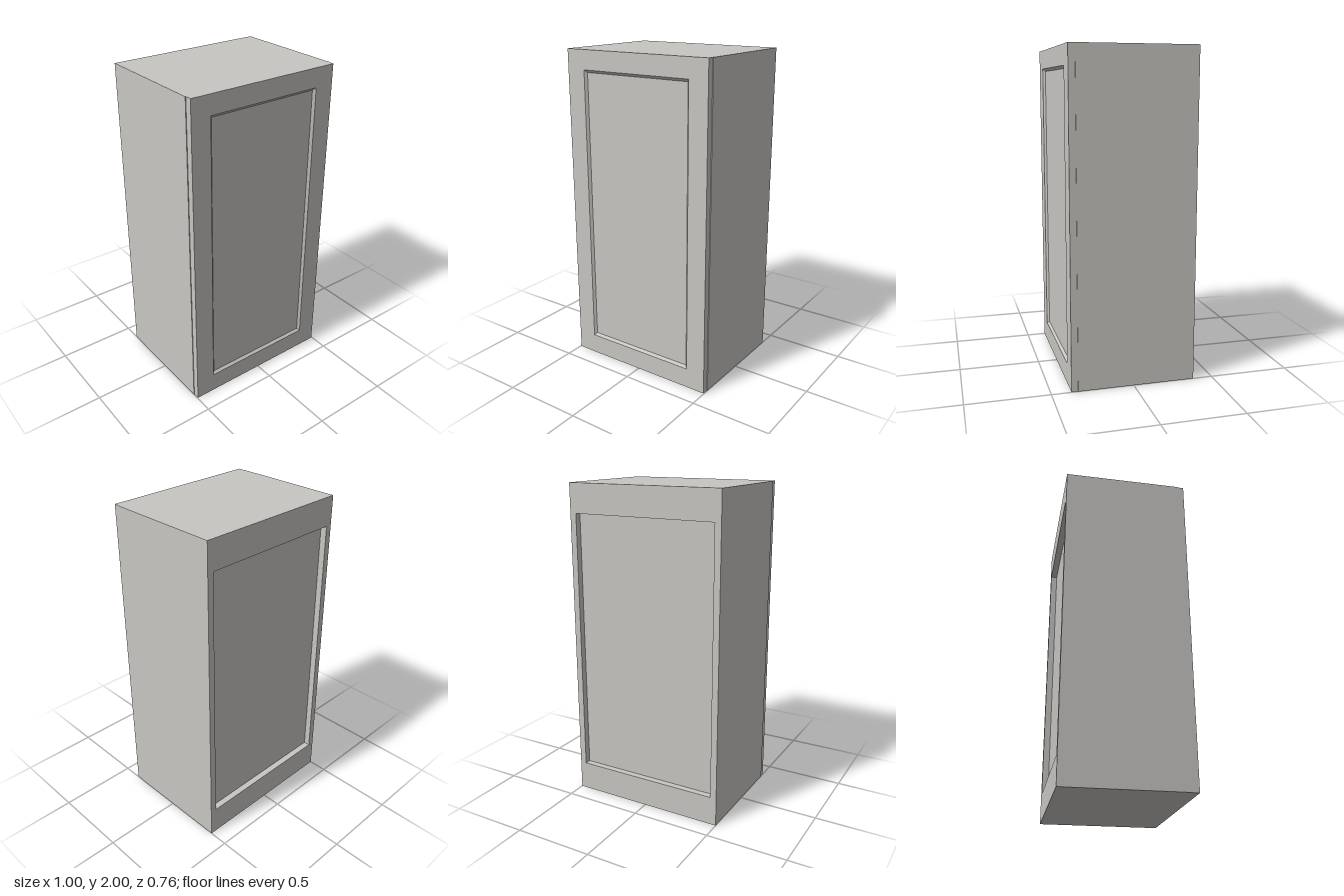
import * as THREE from 'three';

const W = 1, H = 2, T = 0.04;      // cabinet width, height, board thickness
const BACK = -0.38, FRONT = 0.34;  // depth range of the carcass
const DOOR_FRONT = 0.38;

// Door: rectangular loops from the rear edge, round the front, down the bevel to the panel
function doorGeometry() {
  const loops = [ // half width, bottom, top, z
    [0.496, 0, H, FRONT],
    [0.496, 0, H, DOOR_FRONT],
    [0.372, 0.126, 1.882, DOOR_FRONT],
    [0.358, 0.141, 1.866, DOOR_FRONT - 0.015],
  ].map(([x, b, t, z]) => [[-x, b, z], [x, b, z], [x, t, z], [-x, t, z]]);
  const pos = [];
  const quad = (a, b, c, d) => pos.push(...a, ...b, ...c, ...a, ...c, ...d);
  for (let i = 0; i < loops.length - 1; i++) {
    const p = loops[i], q = loops[i + 1];
    for (let k = 0; k < 4; k++) {
      const n = (k + 1) % 4;
      quad(p[k], p[n], q[n], q[k]);
    }
  }
  quad(...loops[loops.length - 1]);
  quad(...loops[0].slice().reverse());
  const g = new THREE.BufferGeometry();
  g.setAttribute('position', new THREE.Float32BufferAttribute(pos, 3));
  g.computeVertexNormals();
  return g;
}

export function createModel() {
  const group = new THREE.Group();
  const paint = new THREE.MeshStandardMaterial({ color: 0xc8c6c2 });
  paint.name = 'light grey paint';

  // Board given by its extents on each axis
  const board = (name, x0, x1, y0, y1, z0, z1) => {
    const m = new THREE.Mesh(new THREE.BoxGeometry(x1 - x0, y1 - y0, z1 - z0), paint);
    m.position.set((x0 + x1) / 2, (y0 + y1) / 2, (z0 + z1) / 2);
    m.name = name;
    group.add(m);
  };

  // Carcass
  const inner = W / 2 - T;
  board('leftSide', inner, W / 2, 0, H, BACK, FRONT);
  board('rightSide', -W / 2, -inner, 0, H, BACK, FRONT);
  board('bottomPanel', -inner, inner, 0, T, BACK, FRONT);
  board('topPanel', -inner, inner, H - T, H, BACK, FRONT);

  // Recessed back with a rail across the top and bottom
  board('backPanel', -inner, inner, T, H - T, BACK + T, BACK + T + 0.02);
  board('lowerBackRail', -inner, inner, T, 0.18, BACK, BACK + T);
  board('upperBackRail', -inner, inner, H - 0.18, H - T, BACK, BACK + T);

  // Door with bevelled inset panel
  const door = new THREE.Mesh(doorGeometry(), paint);
  door.name = 'door';
  group.add(door);

  return group;
}
